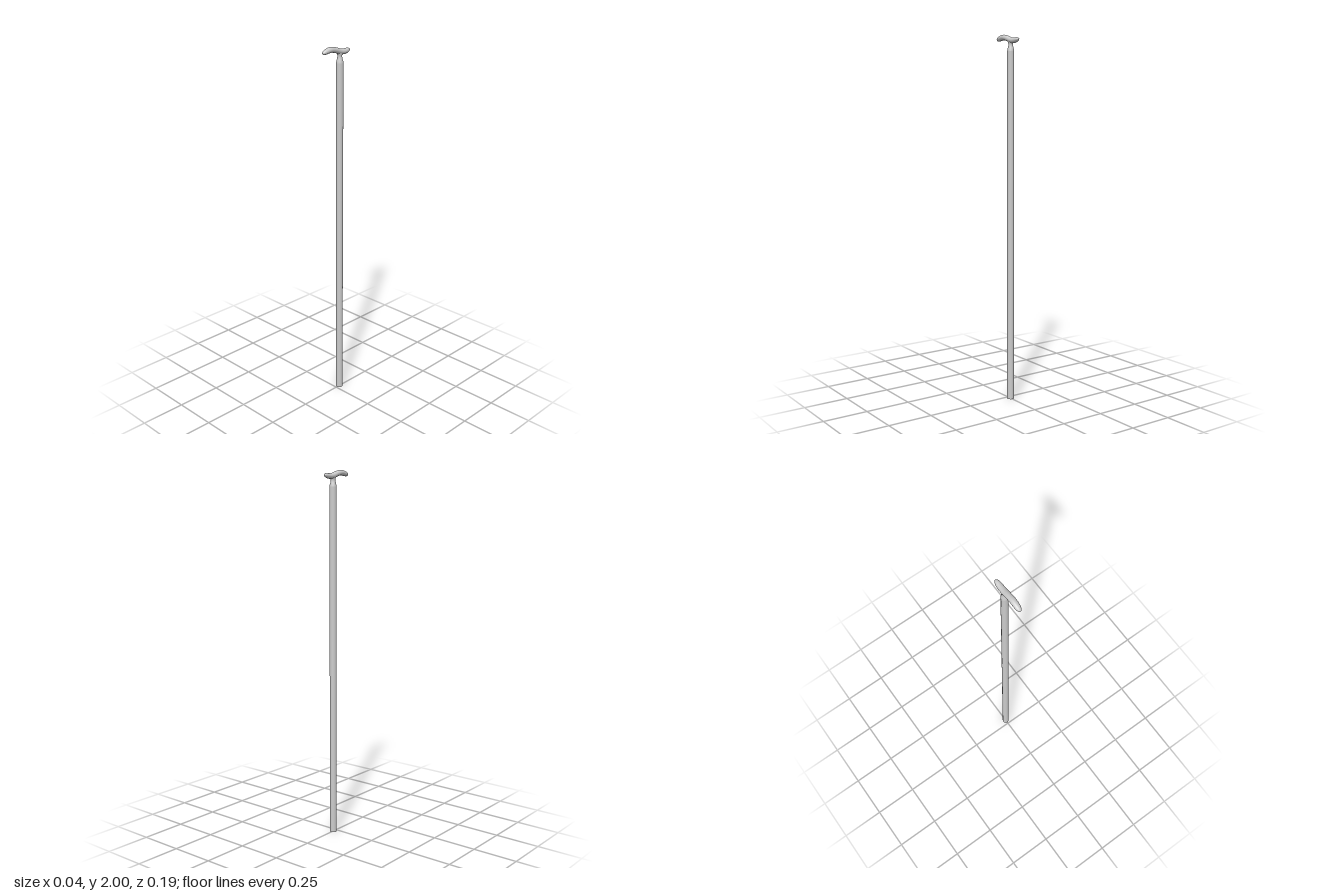
import * as THREE from 'three';
import { mergeVertices } from 'three/addons/utils/BufferGeometryUtils.js';

const SHAFT_Z = -0.026;

// Curved grip: a unit cylinder whose rings are moved along a curve in the YZ plane
function gripGeometry() {
  const curve = new THREE.CatmullRomCurve3(
    [[0.096, 1.973], [0.07, 1.981], [0.04, 1.986], [0.005, 1.98], [-0.03, 1.969], [-0.06, 1.967], [-0.096, 1.974]]
      .map(([z, y]) => new THREE.Vector3(0, y, z)));
  let geo = new THREE.CylinderGeometry(1, 1, 1, 16, 32, true);
  const pos = geo.attributes.position;
  const xAxis = new THREE.Vector3(1, 0, 0);
  const side = new THREE.Vector3();
  for (let i = 0; i < pos.count; i++) {
    const t = 0.5 - 0.5 * Math.cos(Math.PI * (pos.getY(i) + 0.5));
    const round = Math.sqrt(Math.max(0, 1 - Math.abs(2 * t - 1) ** 6)); // rounded ends
    const p = curve.getPointAt(t);
    side.crossVectors(xAxis, curve.getTangentAt(t));
    p.addScaledVector(side, pos.getZ(i) * 0.0145 * round);
    p.x = pos.getX(i) * 0.0165 * round;
    pos.setXYZ(i, p.x, p.y, p.z);
  }
  geo.deleteAttribute('uv');
  geo.deleteAttribute('normal');
  geo = mergeVertices(geo, 1e-5);
  geo.computeVertexNormals();
  return geo;
}

export function createModel() {
  const group = new THREE.Group();
  const material = new THREE.MeshStandardMaterial({ color: 0xcccccc });
  const add = (name, geometry, y = 0, z = 0) => {
    const mesh = new THREE.Mesh(geometry, material);
    mesh.name = name;
    mesh.position.set(0, y, z);
    group.add(mesh);
  };

  // Straight shaft with a flat foot
  add('shaft', new THREE.CylinderGeometry(0.0188, 0.0188, 1.912, 16), 0.956, SHAFT_Z);

  // Neck narrows above the shaft, then flares into the grip
  const profile = [[0.0188, 1.912], [0.0175, 1.922], [0.0145, 1.932], [0.0125, 1.942], [0.0125, 1.95], [0.0145, 1.958], [0.016, 1.965]]
    .map(([r, y]) => new THREE.Vector2(r, y));
  add('neck', new THREE.LatheGeometry(profile, 16), 0, SHAFT_Z);

  add('handle', gripGeometry());
  return group;
}
